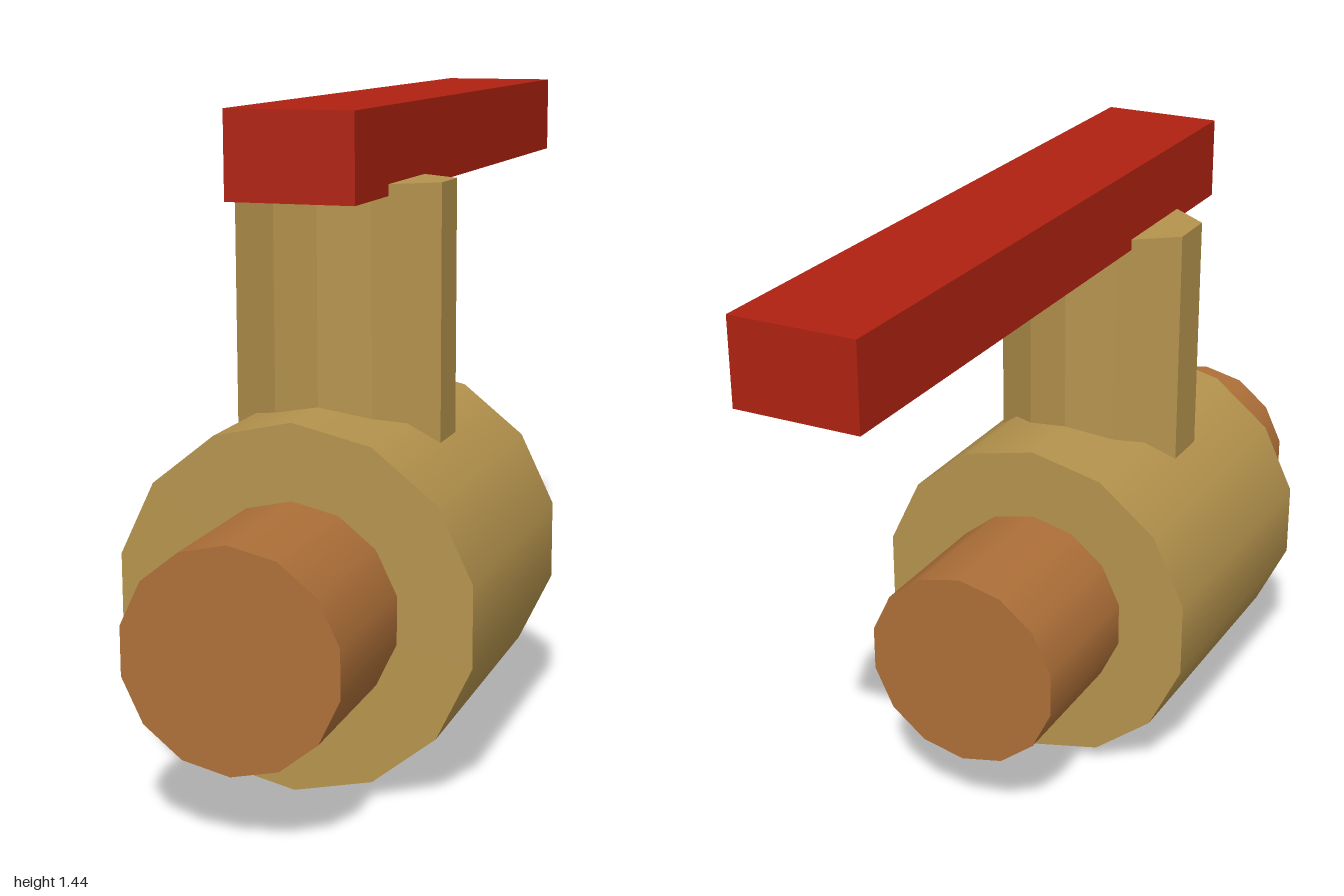
import * as THREE from 'three';

export function createModel() {
  const valve = new THREE.Group();
  valve.name = 'leverValve';

  const material = (name, color, flatShading = false) => {
    const m = new THREE.MeshStandardMaterial({ color, flatShading });
    m.name = name;
    return m;
  };
  const brass = material('brass', 0xb5934d, true);
  const copper = material('copper', 0xad6f38);
  const red = material('red', 0xaf2110);
  brass.flatShading = false;

  const add = (name, geometry, mat, x, y, z) => {
    const mesh = new THREE.Mesh(geometry, mat);
    mesh.name = name;
    mesh.position.set(x, y, z);
    valve.add(mesh);
  };

  // Fourteen-sided cylinder lying along z, with a corner at the top and bottom
  const barrel = (radius, length) =>
    new THREE.CylinderGeometry(radius, radius, length, 14).rotateX(Math.PI / 2);

  add('valveBody', barrel(0.4, 0.702), brass, 0, 0.402, 0.297);
  add('pipe', barrel(0.234, 1.41), copper, 0, 0.402, 0.295);

  // Ten-sided stem: one quarter of the outline, mirrored to the other quarters
  const quarter = [[0.235, 0.058], [0.11, 0.152], [0, 0.185]];
  const half = [...quarter, ...quarter.slice(0, 2).reverse().map(([x, z]) => [-x, z])];
  const outline = [...half, ...half.map(([x, z]) => [-x, -z])];
  const stem = new THREE.ExtrudeGeometry(
    new THREE.Shape(outline.map(([x, z]) => new THREE.Vector2(x, z))),
    { depth: 0.775, bevelEnabled: false }
  ).rotateX(-Math.PI / 2);
  add('stem', stem, brass, 0, 0.5, 0.3);

  // Lever handle resting over the stem and reaching to the back
  add('leverHandle', new THREE.BoxGeometry(0.28, 0.188, 1.647), red, 0, 1.344, -0.1765);

  return valve;
}
